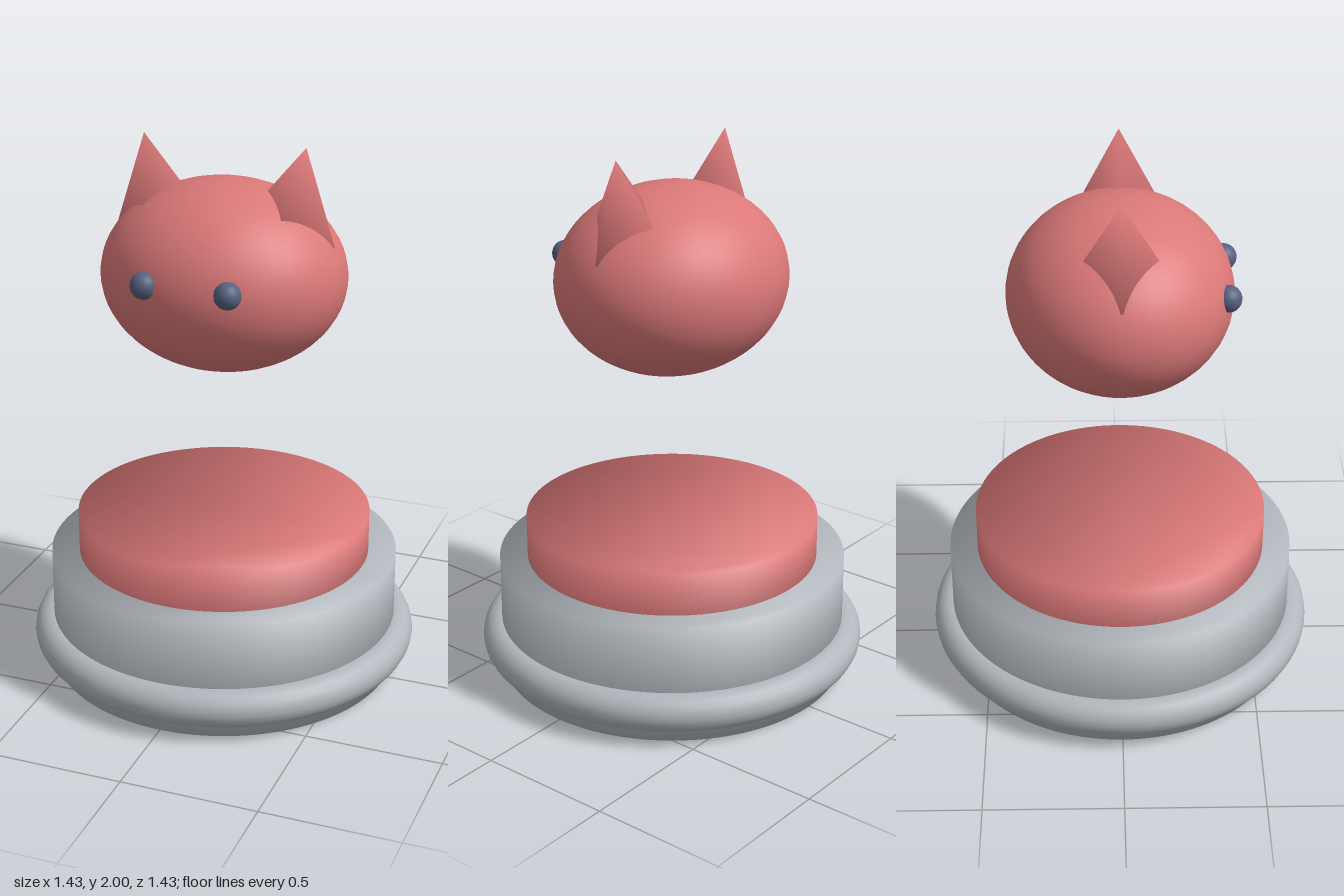
import * as THREE from 'three';
import { mergeVertices } from 'three/addons/utils/BufferGeometryUtils.js';

const coral = new THREE.MeshStandardMaterial({ color: 0xdb7878 });
coral.name = 'coral';
const grey = new THREE.MeshStandardMaterial({ color: 0xb2b7bd });
grey.name = 'grey';
const slate = new THREE.MeshStandardMaterial({ color: 0x56617f });
slate.name = 'slate';

function addMesh(parent, name, geometry, material, x = 0, y = 0, z = 0) {
  const mesh = new THREE.Mesh(geometry, material);
  mesh.name = name;
  mesh.position.set(x, y, z);
  parent.add(mesh);
  return mesh;
}

// Upright disc whose rim normals are shared between wall and caps (soft shading)
function softDisc(radius, height) {
  const shape = new THREE.Shape().absarc(0, 0, radius, 0, Math.PI * 2);
  const geo = new THREE.ExtrudeGeometry(shape, { depth: height, bevelEnabled: false, curveSegments: 64 });
  geo.rotateX(-Math.PI / 2);
  const { position, normal } = geo.attributes;
  const n = new THREE.Vector3();
  for (let i = 0; i < position.count; i++) {
    const up = position.getY(i) > height / 2 ? 0.87 : -0.87;
    n.set(position.getX(i) / radius, up, position.getZ(i) / radius).normalize();
    normal.setXYZ(i, n.x, n.y, n.z);
  }
  return geo;
}

// Four-sided spike with normals shared across its edges
function softSpike(radius, height) {
  const geo = new THREE.ConeGeometry(radius, height, 4);
  geo.deleteAttribute('normal');
  geo.deleteAttribute('uv');
  const merged = mergeVertices(geo);
  merged.computeVertexNormals();
  return merged;
}

export function createModel() {
  const model = new THREE.Group();
  model.name = 'floatingHeadOnPedestal';

  // Pedestal: drum, rounded ring and raised top disc
  const pedestal = new THREE.Group();
  pedestal.name = 'pedestal';
  model.add(pedestal);
  addMesh(pedestal, 'drum', softDisc(0.645, 0.443), grey);
  const ring = new THREE.TorusGeometry(0.645, 0.072, 20, 80).rotateX(Math.PI / 2);
  addMesh(pedestal, 'ring', ring, grey, 0, 0.12, 0);
  addMesh(pedestal, 'topDisc', softDisc(0.542, 0.3), coral, 0, 0.3, 0);

  // Head: a flattened ball floating above the pedestal
  const head = new THREE.Group();
  head.name = 'head';
  model.add(head);
  const skull = new THREE.SphereGeometry(1, 48, 32).scale(0.446, 0.343, 0.403);
  addMesh(head, 'skull', skull, coral, 0, 1.514, 0);

  // Mirrored eyes and outward-leaning ears
  const earHeight = 0.32, tilt = 0.195;
  for (const side of [1, -1]) {
    const label = side > 0 ? 'left' : 'right';
    addMesh(head, label + 'Eye', new THREE.SphereGeometry(0.048, 24, 16), slate, side * 0.153, 1.567, 0.371);
    const ear = addMesh(head, label + 'Ear', softSpike(0.176, earHeight), coral,
      side * (0.301 - Math.sin(tilt) * earHeight / 2), 2 - Math.cos(tilt) * earHeight / 2, 0);
    ear.rotation.z = -side * tilt;
  }
  return model;
}
